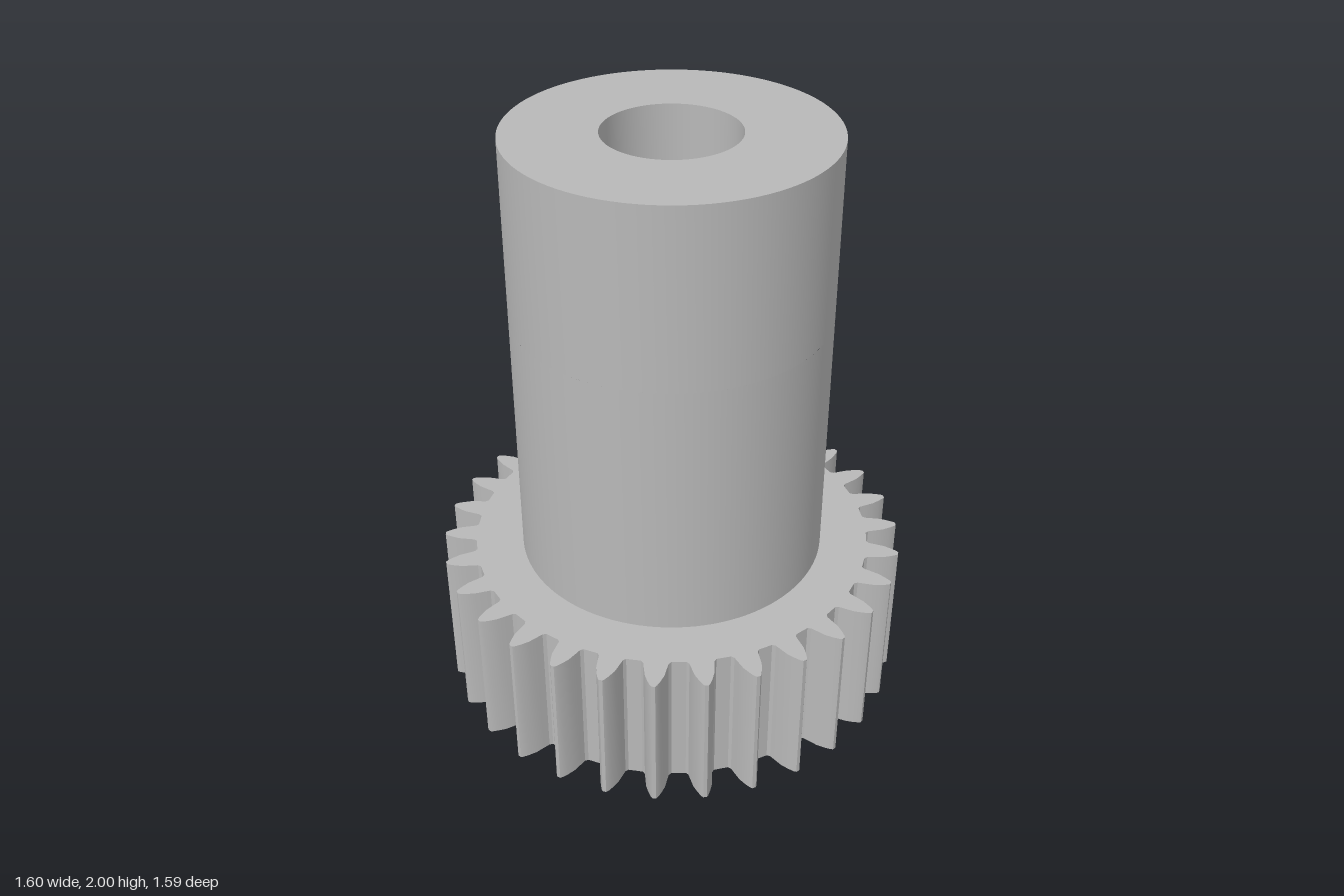
import * as THREE from 'three';
import { toCreasedNormals } from 'three/addons/utils/BufferGeometryUtils.js';

const TAU = Math.PI * 2;
const OUTER = 0.525, BORE = 0.22, COUNTERBORE = 0.415;
const SLOT_HALF = 0.17, SLOT_END = 0.55;
const GEAR_TOP = 0.5, SLOT_TOP = 1.4, TOP = 2;
const TEETH = 30;
// tooth flank: radius, half thickness
const FLANK = [[0.688, 0.048], [0.697, 0.04], [0.715, 0.037], [0.75, 0.031], [0.775, 0.021], [0.793, 0.012], [0.8, 0.006]];

// points (x, z) along an arc
function arc(r, a0, a1, n = 96) {
  return Array.from({ length: n + 1 }, (_, i) => {
    const a = a0 + (a1 - a0) * i / n;
    return new THREE.Vector2(r * Math.cos(a), r * Math.sin(a));
  });
}
const circle = (r) => arc(r, 0, TAU).slice(0, -1);
const reversed = (points) => points.slice().reverse();

// upright wall around a closed outline
function wall(points, y0, y1) {
  const pos = [];
  points.forEach((p, i) => {
    const q = points[(i + 1) % points.length];
    pos.push(p.x, y0, p.y, p.x, y1, p.y, q.x, y1, q.y);
    pos.push(p.x, y0, p.y, q.x, y1, q.y, q.x, y0, q.y);
  });
  const g = new THREE.BufferGeometry();
  g.setAttribute('position', new THREE.Float32BufferAttribute(pos, 3));
  return toCreasedNormals(g, 0.4);
}

// flat face with a hole; every outline is symmetric in z
function cap(outline, hole, y, up) {
  const shape = new THREE.Shape(outline);
  shape.holes.push(new THREE.Path(hole));
  return new THREE.ShapeGeometry(shape).rotateX(up ? -Math.PI / 2 : Math.PI / 2).translate(0, y, 0);
}

function gearOutline() {
  const points = [];
  for (let i = 0; i < TEETH; i++) {
    const a = i * TAU / TEETH;
    const add = (r, w) => {
      const t = a + w / r;
      points.push(new THREE.Vector2(r * Math.cos(t), r * Math.sin(t)));
    };
    FLANK.forEach(([r, w]) => add(r, -w));
    reversed(FLANK).forEach(([r, w]) => add(r, w));
  }
  return points;
}

export function createModel() {
  const model = new THREE.Group();
  const steel = new THREE.MeshStandardMaterial({ color: 0xb8b8b8 });
  steel.name = 'steel grey';

  const part = (name, ...geometries) => {
    const group = new THREE.Group();
    group.name = name;
    geometries.forEach((g) => group.add(new THREE.Mesh(g, steel)));
    model.add(group);
  };

  const aOuter = Math.asin(SLOT_HALF / OUTER);
  const aInner = Math.asin(SLOT_HALF / COUNTERBORE);
  const outerArc = arc(OUTER, aOuter, TAU - aOuter);
  const innerArc = arc(COUNTERBORE, aInner, TAU - aInner);
  const slotEnd = [new THREE.Vector2(SLOT_END, -SLOT_HALF), new THREE.Vector2(SLOT_END, SLOT_HALF)];
  const keyhole = [...innerArc, ...slotEnd];
  const gear = gearOutline();

  // toothed ring with the keyway cut through it
  part('gear',
    wall(gear, 0, GEAR_TOP),
    wall(reversed(keyhole), 0, GEAR_TOP),
    cap(gear, keyhole, 0, false),
    cap(gear, [...outerArc, ...slotEnd], GEAR_TOP, true));

  // slotted part of the hub around the wide bore
  part('slottedSleeve', wall([...outerArc, ...reversed(innerArc)], GEAR_TOP, SLOT_TOP));

  // shoulder closing the wide bore and the slot
  part('boreShoulder',
    cap([...innerArc, ...arc(OUTER, -aOuter, aOuter, 16)], circle(BORE), SLOT_TOP, false));

  // solid upper hub with the narrow bore
  part('upperHub',
    wall(circle(OUTER), SLOT_TOP, TOP),
    wall(reversed(circle(BORE)), SLOT_TOP, TOP),
    cap(circle(OUTER), circle(BORE), TOP, true));

  return model;
}
